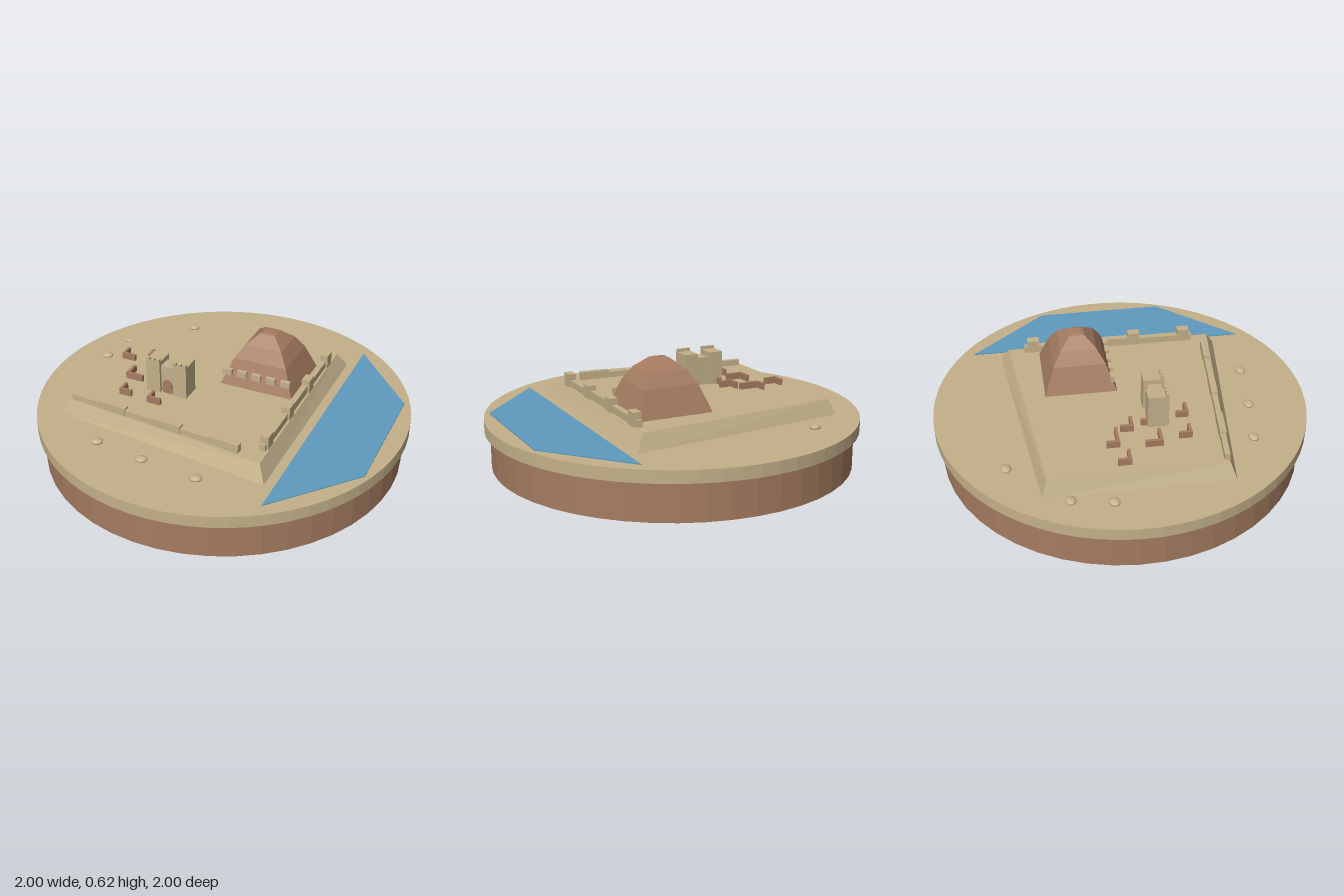
import * as THREE from 'three';

const sand = new THREE.MeshStandardMaterial({ color: 0xc4b18a });
sand.name = 'sand';
const clay = new THREE.MeshStandardMaterial({ color: 0xa67c61 });
clay.name = 'clay brown';
const blue = new THREE.MeshStandardMaterial({ color: 0x5f9abf });
blue.name = 'water blue';

const TURN = -20 * Math.PI / 180; // shared street direction
const GROUND = 0.265, TERRACE = 0.348;

// Unshared corners give every facet its own normal
function faceted(geo) {
  const g = geo.index ? geo.toNonIndexed() : geo;
  g.computeVertexNormals();
  return g;
}

function add(parent, name, geo, mat, x = 0, y = 0, z = 0) {
  const m = new THREE.Mesh(geo, mat);
  m.name = name;
  m.position.set(x, y, z);
  parent.add(m);
  return m;
}

// Box standing on height y
function block(parent, name, mat, w, h, d, x, y, z) {
  return add(parent, name, new THREE.BoxGeometry(w, h, d), mat, x, y + h / 2, z);
}

function turned(parent, name, x, y, z, angle = TURN) {
  const g = new THREE.Group();
  g.name = name;
  g.position.set(x, y, z);
  g.rotation.y = angle;
  parent.add(g);
  return g;
}

// Solid through stacked rings of [x, z] corners, closed at both ends
function loft(layers) {
  const n = layers[0].ring.length, pos = [], idx = [];
  layers.forEach(({ y, ring }) => ring.forEach(([x, z]) => pos.push(x, y, z)));
  for (let k = 0; k < layers.length - 1; k++) {
    for (let i = 0; i < n; i++) {
      const a = k * n + i, b = k * n + (i + 1) % n;
      idx.push(a, b, b + n, a, b + n, a + n);
    }
  }
  const top = (layers.length - 1) * n;
  for (let i = 1; i < n - 1; i++) {
    idx.push(top, top + i, top + i + 1, 0, i + 1, i);
  }
  const g = new THREE.BufferGeometry();
  g.setAttribute('position', new THREE.Float32BufferAttribute(pos, 3));
  g.setIndex(idx);
  return faceted(g);
}

export function createModel() {
  const model = new THREE.Group();
  model.name = 'citadelDiorama';

  // Round base and ground disc
  add(model, 'base', faceted(new THREE.CylinderGeometry(0.97, 0.97, 0.2, 48)), clay, 0, 0.1, 0);
  add(model, 'groundDisc', faceted(new THREE.CylinderGeometry(1, 1, GROUND - 0.2, 64)), sand, 0, (GROUND + 0.2) / 2, 0);

  // River beside the terrace
  const river = [[0.246, 0.903], [0.733, 0.64], [0.968, -0.02], [0.77, -0.535]];
  add(model, 'river', loft([{ y: GROUND - 0.003, ring: river }, { y: GROUND + 0.005, ring: river }]), blue);

  // Sloped terrace
  add(model, 'terrace', loft([
    { y: GROUND - 0.005, ring: [[-0.848, 0.203], [0.25, 0.748], [0.675, -0.412], [-0.518, -0.703]] },
    { y: TERRACE, ring: [[-0.797, 0.187], [0.225, 0.684], [0.61, -0.385], [-0.497, -0.663]] },
  ]), sand);

  // Stepped-slope mound with a row of merlons on its front face
  const mound = turned(model, 'mound', 0.237, 0, -0.138);
  const square = s => [[-0.205, 0.193], [0.205, 0.193], [0.205, -0.193], [-0.205, -0.193]].map(([x, z]) => [x * s, z * s]);
  add(mound, 'moundBody', loft([[TERRACE - 0.003, 1], [0.49, 0.72], [0.56, 0.5], [0.613, 0.2], [0.619, 0.1]]
    .map(([y, s]) => ({ y, ring: square(s) }))), clay);
  for (let i = 0; i < 5; i++) {
    block(mound, 'moundMerlon', sand, 0.053, 0.035, 0.024, -0.17 + i * 0.0825, 0.402, 0.17);
  }

  // Front rampart: six sections of alternating height and thickness
  const from = [-0.775, 0.182], to = [0.122, 0.598];
  const length = Math.hypot(to[0] - from[0], to[1] - from[1]);
  const front = turned(model, 'frontRampart', from[0], TERRACE, from[1], -Math.atan2(to[1] - from[1], to[0] - from[0]));
  for (let i = 0; i < 6; i++) {
    const odd = i % 2;
    block(front, 'rampartSection', sand, length / 6, odd ? 0.045 : 0.034, odd ? 0.034 : 0.028, (i + 0.5) * length / 6, 0, 0);
  }

  // River rampart: thin wall with four towers
  const side = turned(model, 'riverRampart', 0.393, TERRACE, 0.135);
  for (let i = 0; i < 3; i++) {
    block(side, 'riverWall', sand, 0.032, i % 2 ? 0.045 : 0.038, 0.285, 0, 0, 0.284 - i * 0.284);
  }
  block(side, 'wallEnd', sand, 0.032, 0.035, 0.06, 0, 0, 0.445);
  block(side, 'wallEnd', sand, 0.032, 0.035, 0.06, 0, 0, -0.445);
  for (let i = 0; i < 4; i++) {
    block(side, 'riverTower', sand, 0.045, 0.072, 0.065, 0.004, 0, 0.425 - i * 0.2835);
  }

  // Gatehouse: twin towers, linking wall and arched door
  const gate = turned(model, 'gatehouse', -0.278, TERRACE, 0.054);
  for (const s of [-1, 1]) {
    block(gate, 'gateTower', sand, 0.08, 0.182, 0.108, s * 0.0765, 0, 0);
    for (let i = -1; i <= 1; i++) {
      block(gate, 'gateMerlon', sand, 0.02, 0.016, 0.016, s * 0.0765 + i * 0.029, 0.182, 0.045);
    }
  }
  block(gate, 'gateWall', sand, 0.075, 0.155, 0.075, 0, 0, 0);
  const arch = new THREE.Shape();
  arch.moveTo(-0.027, 0);
  arch.lineTo(0.027, 0);
  arch.lineTo(0.027, 0.05);
  arch.absarc(0, 0.05, 0.027, 0, Math.PI, false);
  arch.closePath();
  add(gate, 'gateDoor', new THREE.ExtrudeGeometry(arch, { depth: 0.008, bevelEnabled: false, curveSegments: 8 }), clay, 0, 0, 0.037);

  // Ruined house corners: [x, z, back arm, side arm]
  const ruins = [
    [-0.578, -0.25, 0.07, 0.08], [-0.433, -0.24, 0.068, 0.12], [-0.353, -0.118, 0.07, 0.08],
    [-0.524, -0.043, 0.09, 0.1], [-0.353, -0.005, 0.065, 0.06], [-0.535, 0.118, 0.068, 0.07],
    [-0.38, 0.187, 0.065, 0.078],
  ];
  for (const [x, z, back, across] of ruins) {
    const ruin = turned(model, 'ruin', x, TERRACE, z);
    block(ruin, 'ruinBackWall', clay, 0.016, 0.036, back, 0, 0, -back / 2 + 0.008);
    block(ruin, 'ruinSideWall', clay, across, 0.036, 0.016, across / 2 - 0.008, 0, 0);
  }

  // Scattered boulders
  const boulder = new THREE.SphereGeometry(1, 16, 10);
  boulder.scale(0.032, 0.015, 0.027);
  for (const [x, z] of [[-0.24, -0.77], [-0.6, -0.588], [-0.706, -0.406], [-0.61, 0.455], [-0.364, 0.588], [-0.08, 0.722]]) {
    add(model, 'boulder', boulder, sand, x, GROUND + 0.006, z);
  }

  return model;
}
